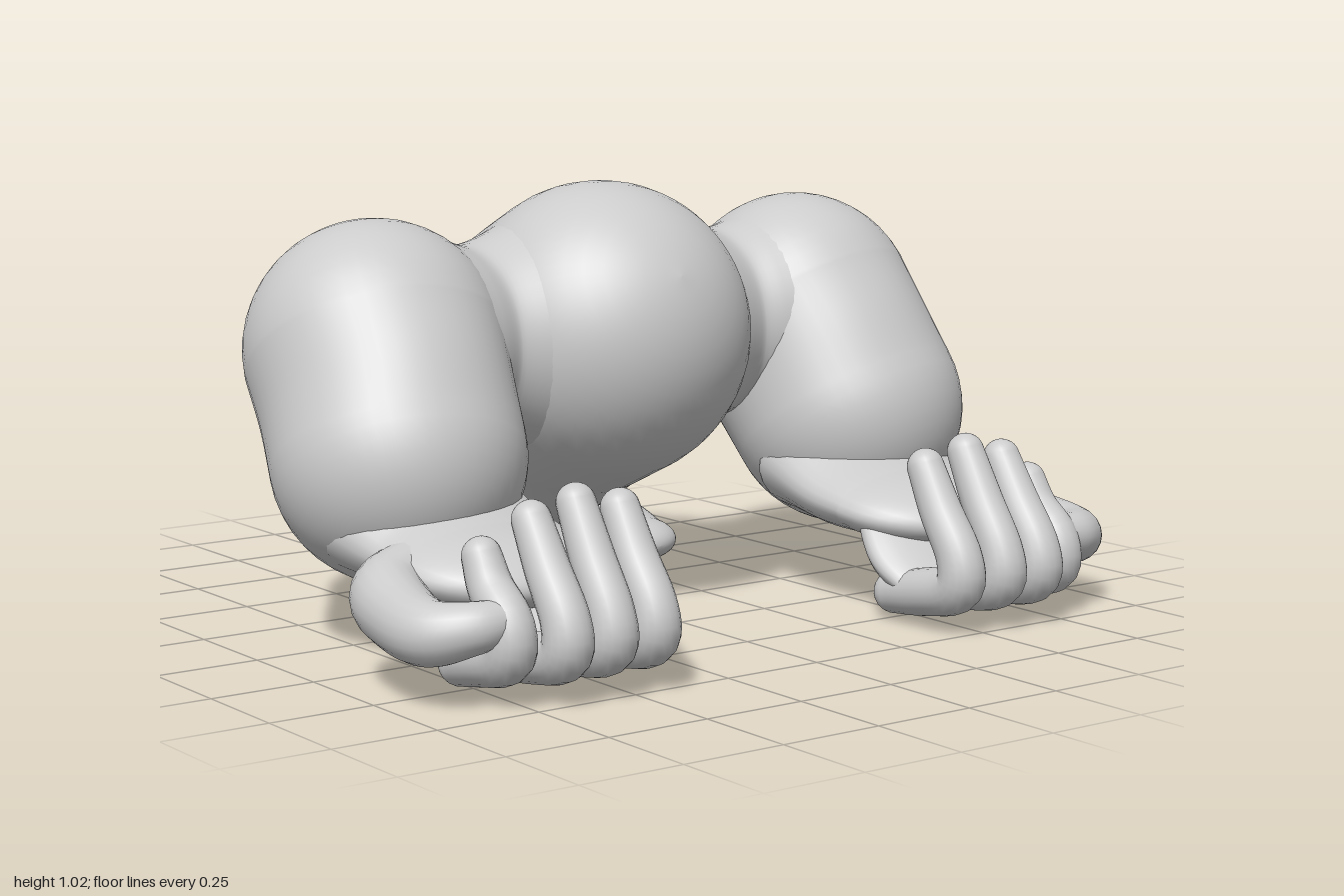
import * as THREE from 'three';

const material = new THREE.MeshStandardMaterial({ color: 0xcccccc });
const CAP = 12;

// Smooth limb swept through stations [x, y, z, halfWidth, halfHeight], with rounded ends.
// side: direction of the section's width; cap: length of the end caps [start, end].
function limb(name, stations, { side = [1, 0, 0], cap = [], steps = 24, sides = 32 } = {}) {
  const path = new THREE.CatmullRomCurve3(
    stations.map(([x, y, z]) => new THREE.Vector3(x, y, z)), false, 'catmullrom');
  const size = new THREE.CatmullRomCurve3(
    stations.map(([, , , w, h = w]) => new THREE.Vector3(w, h, 0)), false, 'catmullrom');
  const ref = new THREE.Vector3(...side);
  const positions = [], index = [];
  let rings = 0;

  const ring = (t, scale, shift) => {
    const tangent = path.getTangent(t);
    const centre = path.getPoint(t).addScaledVector(tangent, shift);
    const s = ref.clone().addScaledVector(tangent, -ref.dot(tangent)).normalize();
    const n = tangent.clone().cross(s);
    const { x: w, y: h } = size.getPoint(t);
    for (let j = 0; j < sides; j++) {
      const a = (j / sides) * Math.PI * 2;
      const p = centre.clone()
        .addScaledVector(s, Math.cos(a) * w * scale)
        .addScaledVector(n, Math.sin(a) * h * scale);
      positions.push(p.x, p.y, p.z);
    }
    rings++;
  };

  const endSize = (t) => { const v = size.getPoint(t); return Math.min(v.x, v.y); };
  const c0 = cap[0] ?? endSize(0), c1 = cap[1] ?? endSize(1);
  for (let i = 0; i < CAP; i++) {
    const a = (i / CAP) * Math.PI / 2;
    ring(0, Math.sin(a), -c0 * Math.cos(a));
  }
  for (let i = 0; i <= steps; i++) ring(i / steps, 1, 0);
  for (let i = 1; i <= CAP; i++) {
    const a = (i / CAP) * Math.PI / 2;
    ring(1, Math.cos(a), c1 * Math.sin(a));
  }

  for (let i = 0; i < rings - 1; i++) {
    for (let j = 0; j < sides; j++) {
      const k = (j + 1) % sides;
      const a = i * sides + j, b = i * sides + k, c = a + sides, d = b + sides;
      index.push(a, b, c, b, d, c);
    }
  }
  const geometry = new THREE.BufferGeometry();
  geometry.setAttribute('position', new THREE.Float32BufferAttribute(positions, 3));
  geometry.setIndex(index);
  geometry.computeVertexNormals();
  const mesh = new THREE.Mesh(geometry, material);
  mesh.name = name;
  return mesh;
}

// Arm, fist and leg of one side; s = 1 for left, -1 for right
function buildSide(s) {
  const group = new THREE.Group();
  const word = s > 0 ? 'left' : 'right';
  group.name = word + 'Limbs';
  const add = (part, stations, options = {}) => {
    const mirrored = stations.map(([x, ...rest]) => [x * s, ...rest]);
    group.add(limb(word + part, mirrored, options));
  };

  // Narrowed bridge from chest to shoulder
  add('ShoulderBridge', [
    [0.12, 0.655, -0.11, 0.34], [0.24, 0.655, -0.115, 0.272], [0.36, 0.655, -0.12, 0.234],
    [0.46, 0.657, -0.11, 0.254], [0.53, 0.66, -0.105, 0.285],
  ], { side: [0, 1, 0], cap: [0.05, 0.05], sides: 48 });

  // Heavy upper arm, ball shoulder to ball elbow
  add('UpperArm', [
    [0.622, 0.66, -0.1, 0.305], [0.64, 0.55, -0.02, 0.293, 0.303], [0.66, 0.435, 0.06, 0.295, 0.29],
  ], { sides: 48 });

  // Flattened forearm
  add('Forearm', [
    [0.64, 0.31, 0.1, 0.26, 0.15], [0.62, 0.265, 0.25, 0.25, 0.105], [0.62, 0.245, 0.37, 0.245, 0.083],
  ], { cap: [0.08, 0.22] });

  // Palm sloping down under the wrist
  add('Palm', [
    [0.57, 0.22, 0.42, 0.16, 0.05], [0.55, 0.14, 0.5, 0.17, 0.06], [0.55, 0.095, 0.57, 0.16, 0.05],
  ]);

  // Four fingers curling forward and up: [x, tip height, reach offset]
  [[0.44, 0.38, -0.01], [0.56, 0.405, 0], [0.675, 0.38, 0], [0.785, 0.31, -0.05]].forEach(([x, tip, dz], i) => {
    add('Finger' + (i + 1), [
      [x, 0.066, 0.51, 0.052], [x, 0.084, 0.63 + dz, 0.057], [x, 0.113, 0.738 + dz, 0.058],
      [x, 0.185, 0.74 + dz, 0.054], [x, 0.5 * (0.185 + tip), 0.675 + dz, 0.05], [x, tip, 0.615 + dz / 2, 0.044],
    ], { sides: 20 });
  });

  // Thumb leaving the wrist sideways and wrapping forward to the last finger
  add('Thumb', [
    [0.78, 0.23, 0.32, 0.08], [0.875, 0.2, 0.365, 0.087], [0.912, 0.175, 0.48, 0.08],
    [0.92, 0.165, 0.6, 0.072], [0.865, 0.18, 0.67, 0.058], [0.8, 0.19, 0.685, 0.048],
  ], { side: [0, 1, 0], sides: 20, steps: 36 });

  // Folded thigh sunk into the pelvis, down to the heel
  add('Leg', [
    [0.13, 0.37, -0.5, 0.21], [0.22, 0.25, -0.612, 0.173], [0.27, 0.14, -0.6, 0.135],
  ], { cap: [0.15, 0.1] });

  // Flat, tongue-shaped foot
  add('Foot', [
    [0.28, 0.11, -0.62, 0.14, 0.1], [0.3, 0.078, -0.48, 0.15, 0.077], [0.31, 0.07, -0.36, 0.11, 0.055],
  ], { cap: [0.11, 0.1] });

  return group;
}

export function createModel() {
  const model = new THREE.Group();
  model.name = 'hunchedBody';

  // Egg-shaped hunched torso, from rounded chest to pelvis
  model.add(limb('torso', [
    [0, 0.66, -0.08, 0.365], [0, 0.57, -0.261, 0.375, 0.358], [0, 0.469, -0.399, 0.355, 0.338],
    [0, 0.39, -0.503, 0.31],
  ], { cap: [0.365, 0.315], sides: 56, steps: 32 }));

  for (const s of [1, -1]) model.add(buildSide(s));
  return model;
}
